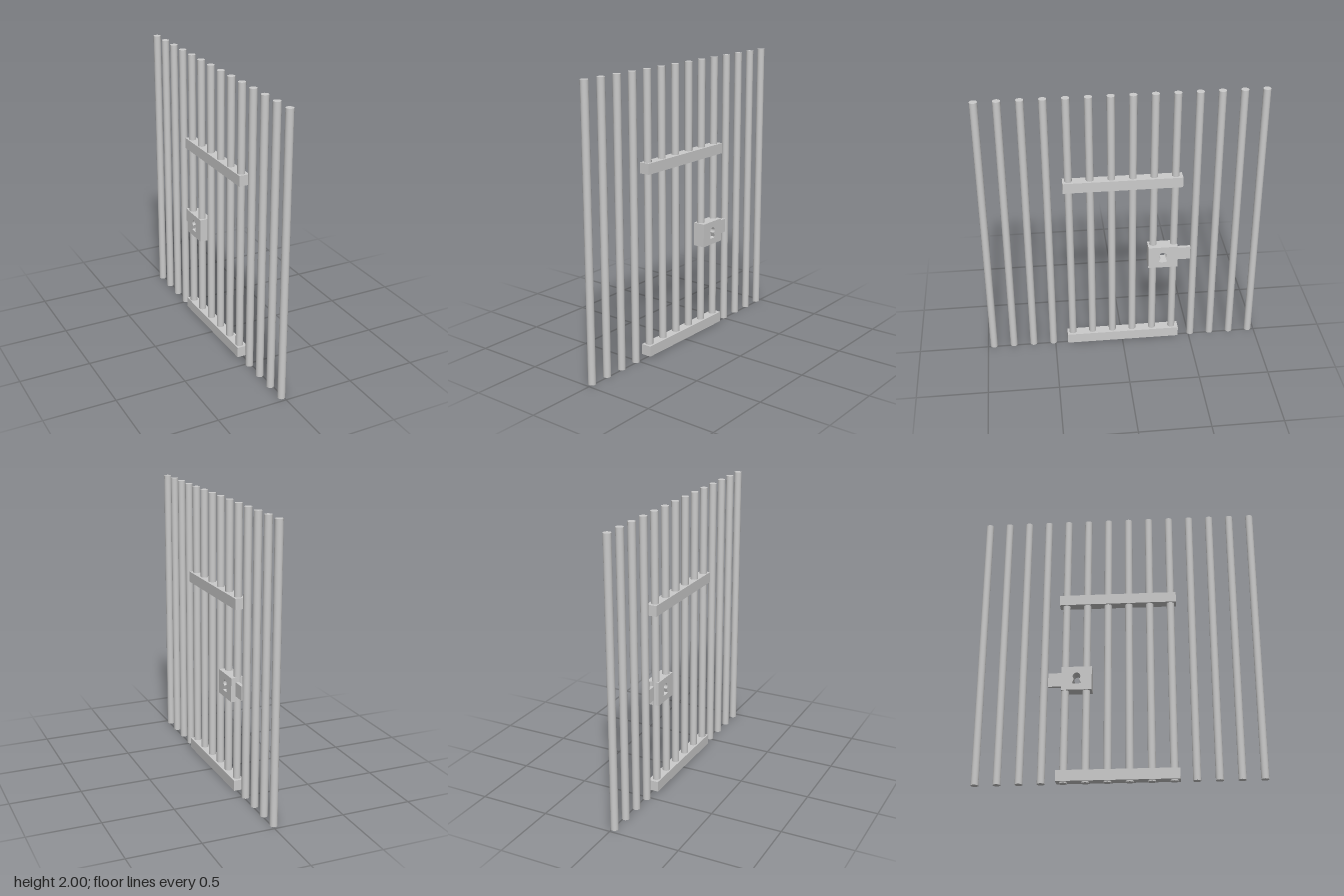
import * as THREE from 'three';

const material = new THREE.MeshStandardMaterial({ color: 0xcccccc });

export function createModel() {
  const group = new THREE.Group();
  const add = (name, geometry, x, y, z) => {
    const mesh = new THREE.Mesh(geometry, material);
    mesh.name = name;
    mesh.position.set(x, y, z);
    group.add(mesh);
    return mesh;
  };

  // Row of upright bars; the middle six belong to the door
  const count = 14, spacing = 0.1472, barX = -0.013;
  const barGeometry = new THREE.CylinderGeometry(0.0265, 0.0265, 2, 16);
  for (let i = 0; i < count; i++) {
    const isDoor = i >= 4 && i <= 9;
    add(isDoor ? 'doorBar' : 'fixedBar', barGeometry, barX, 1, (i - (count - 1) / 2) * spacing);
  }

  // Door rails
  const railGeometry = new THREE.BoxGeometry(0.075, 0.075, 0.824);
  add('bottomRail', railGeometry, -0.01, 0.047, -0.004);
  add('topRail', railGeometry, -0.01, 1.343, -0.004);

  // Lock box with a keyhole cut right through
  const w = 0.105, h = 0.085;
  const plate = new THREE.Shape([
    new THREE.Vector2(-w, -h), new THREE.Vector2(w, -h),
    new THREE.Vector2(w, h), new THREE.Vector2(-w, h),
  ]);
  const keyhole = new THREE.Path();
  keyhole.moveTo(-0.03, -0.037);
  keyhole.lineTo(-0.017, -0.005);
  keyhole.absarc(0, 0.014, 0.0265, Math.PI * 1.25, -Math.PI * 0.25, true);
  keyhole.lineTo(0.03, -0.037);
  keyhole.quadraticCurveTo(0, -0.046, -0.03, -0.037);
  plate.holes.push(keyhole);
  const lockGeometry = new THREE.ExtrudeGeometry(plate, { depth: 0.089, bevelEnabled: false, curveSegments: 10 });
  lockGeometry.rotateY(Math.PI / 2);
  add('lockBox', lockGeometry, -0.046, 0.741, -0.287);

  // Latch bolt reaching the neighbouring fixed bar
  add('latchBolt', new THREE.BoxGeometry(0.024, 0.1, 0.1), -0.001, 0.745, -0.437);

  return group;
}
